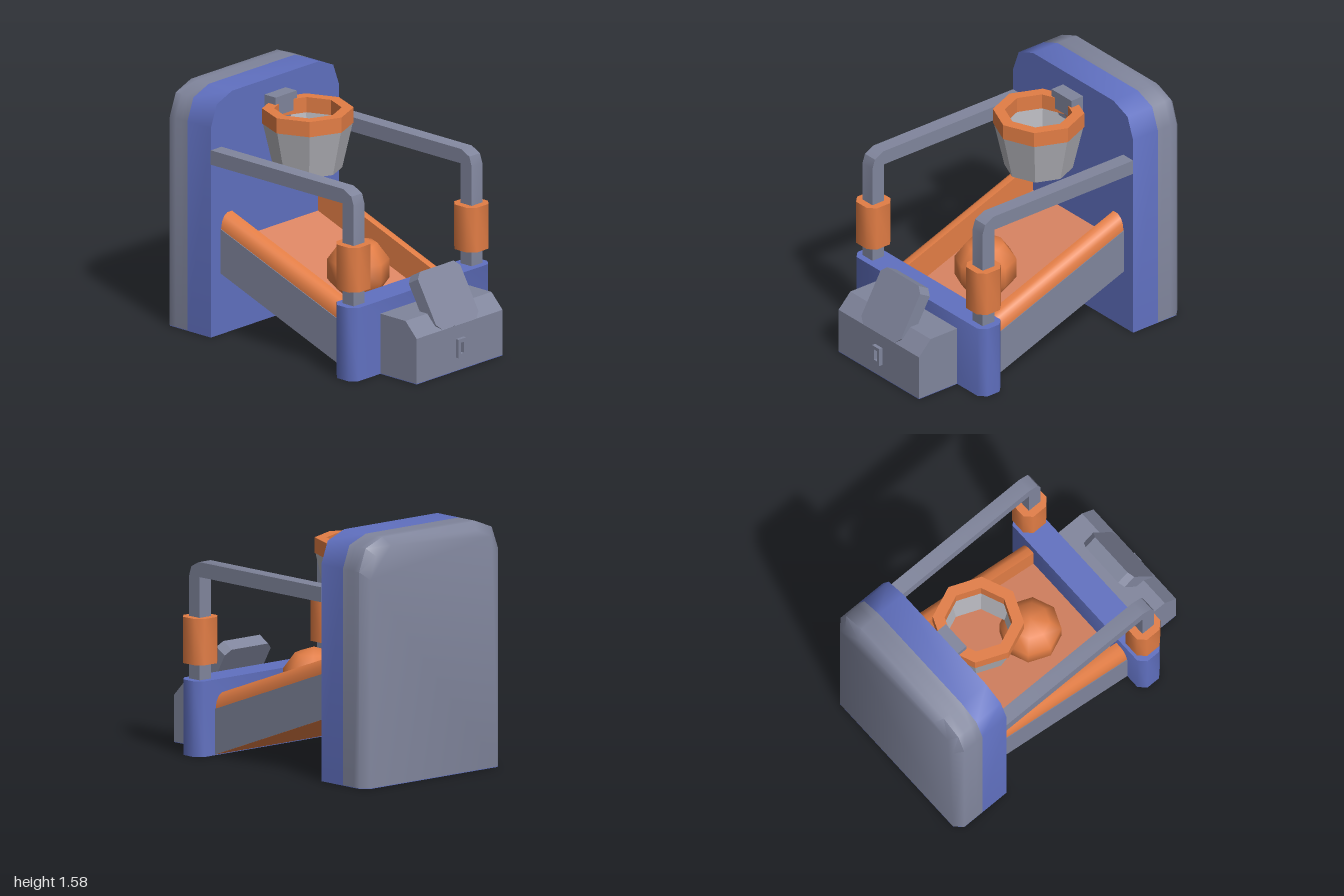
import * as THREE from 'three';
import { toCreasedNormals } from 'three/addons/utils/BufferGeometryUtils.js';

const paint = (name, color) => Object.assign(new THREE.MeshStandardMaterial({ color }), { name });

export function createModel() {
  const group = new THREE.Group();
  const blue = paint('blue', 0x6070c0);
  const grey = paint('steel grey', 0x80859c);
  const orange = paint('orange', 0xe27d45);
  const salmon = paint('salmon floor', 0xd98462);
  const silver = paint('silver', 0xb2b2b8);
  silver.side = THREE.DoubleSide;

  const add = (name, geometry, material, crease = 0.6) => {
    const mesh = new THREE.Mesh(crease ? toCreasedNormals(geometry, crease) : geometry, material);
    mesh.name = name;
    group.add(mesh);
    return mesh;
  };
  const shapeOf = (pts) => new THREE.Shape(pts.map(([x, y]) => new THREE.Vector2(x, y)));
  const extrude = (pts, depth, steps = 1) =>
    new THREE.ExtrudeGeometry(shapeOf(pts), { depth, steps, bevelEnabled: false });
  // (x, y) outline running from z0 to z1
  const alongZ = (pts, z0, z1, steps) => extrude(pts, z1 - z0, steps).translate(0, 0, z0);
  // (z, y) outline running from x0 to x1
  const alongX = (pts, x0, x1) => extrude(pts, x1 - x0).rotateY(-Math.PI / 2).translate(x1, 0, 0);
  // (x, z) outline running from y0 to y1
  const alongY = (pts, y0, y1) =>
    extrude(pts.map(([x, z]) => [x, -z]), y1 - y0).rotateX(-Math.PI / 2).translate(0, y0, 0);
  const box = (x0, x1, y0, y1, z0, z1) =>
    new THREE.BoxGeometry(x1 - x0, y1 - y0, z1 - z0).translate((x0 + x1) / 2, (y0 + y1) / 2, (z0 + z1) / 2);
  // rectangle with cut corners
  const cutRect = (cx, cy, w, h, c) => [
    [cx - w + c, cy - h], [cx + w - c, cy - h], [cx + w, cy - h + c], [cx + w, cy + h - c],
    [cx + w - c, cy + h], [cx - w + c, cy + h], [cx - w, cy + h - c], [cx - w, cy - h + c],
  ];
  const bend = (geometry, rule) => {
    const p = geometry.attributes.position;
    const v = new THREE.Vector3();
    for (let i = 0; i < p.count; i++) {
      rule(v.fromBufferAttribute(p, i));
      p.setXYZ(i, v.x, v.y, v.z);
    }
    return geometry;
  };

  // Backboard: blue front slab, grey rear shell tapering at its back edge
  const board = (y0) => [
    [-0.59, y0], [0.59, y0], [0.59, 1.38], [0.535, 1.525], [0.395, 1.58],
    [-0.395, 1.58], [-0.535, 1.525], [-0.59, 1.38],
  ];
  add('backboard', alongZ(board(0), -0.8, -0.6), blue, 0.9);
  const shell = bend(alongZ(board(0.004), -1, -0.8, 4), (v) => {
    if (v.z < -0.99) {
      v.x *= 0.54 / 0.59;
      if (v.y > 1) v.y -= 0.05;
    }
  });
  add('backboardShell', shell, grey, 0.9);
  add('backboardBase', alongY([
    [-0.59, -0.8], [0.59, -0.8], [0.59, -0.95], [0.54, -1], [-0.54, -1], [-0.59, -0.95],
  ], 0, 0.004), blue);

  // Sloping ramp: outlines at the front end, sheared upwards to the back
  const sloped = (pts) => bend(alongZ(pts, -0.6, 0.49), (v) => { v.y += 0.4 * (0.49 - v.z) / 1.09; });
  add('rampUnderside', sloped([[-0.4, 0], [0.4, 0], [0.4, 0.19], [-0.4, 0.19]]), orange);
  add('rampFloor', sloped([[-0.396, 0.19], [0.396, 0.19], [0.396, 0.198], [-0.396, 0.198]]), salmon);

  for (const s of [-1, 1]) {
    const side = s > 0 ? 'left' : 'right';
    const mirror = (pts) => pts.map(([x, y]) => [s * x, y]);
    // Rounded rail with a grey outer panel
    add(side + 'Rail', sloped(mirror([
      [0.395, 0], [0.495, 0], [0.495, 0.3], [0.487, 0.34], [0.468, 0.372], [0.44, 0.39], [0.395, 0.39],
    ])), orange, 0.7);
    add(side + 'RailPanel', sloped(mirror([[0.495, 0.001], [0.5, 0.001], [0.5, 0.292], [0.495, 0.292]])), grey);

    // Bent support bar and its sleeve
    const x = s * 0.542;
    add(side + 'SupportBar', alongX([
      [-0.6, 1.14], [0.525, 1.14], [0.525, 0.47], [0.62, 0.47],
      [0.62, 1.14], [0.6, 1.2], [0.53, 1.235], [-0.6, 1.235],
    ], x - 0.049, x + 0.049), grey);
    add(side + 'Sleeve', alongY(cutRect(x, 0.572, 0.098, 0.097, 0.045), 0.585, 0.88), orange, 0.9);
  }

  // Front beam
  add('frontBeam', alongY(cutRect(0, 0.572, 0.64, 0.093, 0.045), 0, 0.482), blue, 0.9);

  // Control box with chute and coin slot
  add('controlBox', alongX([
    [0.6, 0.004], [0.975, 0.004], [0.975, 0.3], [0.88, 0.397], [0.6, 0.397],
  ], -0.395, 0.395), grey);
  add('controlBoxBase', box(-0.395, 0.395, 0, 0.004, 0.6, 0.975), blue);
  const flap = extrude(cutRect(0, 0.195, 0.195, 0.195, 0.04), 0.09).translate(0, 0, -0.09);
  add('tiltedFlap', flap.rotateX(-Math.PI / 6).translate(0, 0.302, 0.975), grey);
  const slot = shapeOf([[-0.035, 0.09], [0.035, 0.09], [0.035, 0.212], [-0.035, 0.212]]);
  slot.holes.push(shapeOf([[-0.015, 0.115], [-0.015, 0.188], [0.015, 0.188], [0.015, 0.115]]));
  add('coinSlot', new THREE.ExtrudeGeometry(slot, { depth: 0.025, bevelEnabled: false }).translate(0, 0, 0.975), grey);

  // Ball resting on the ramp
  add('ball', new THREE.SphereGeometry(0.205, 8, 5).translate(0, 0.475, 0.11), orange, 0);

  // Eight-sided hoop with an open basket, hung from a bracket
  const ring = (pts) => new THREE.LatheGeometry(pts.map(([r, y]) => new THREE.Vector2(r, y)), 8).translate(0, 0, -0.32);
  add('basket', ring([[0.215, 1.04], [0.283, 1.34]]), silver);
  add('hoopRim', ring([[0.212, 1.335], [0.287, 1.335], [0.287, 1.435], [0.212, 1.435], [0.212, 1.335]]), orange);
  add('hoopBracket', alongX([
    [-0.6, 1.285], [-0.555, 1.285], [-0.555, 1.435], [-0.53, 1.435], [-0.53, 1.36],
    [-0.505, 1.36], [-0.505, 1.483], [-0.6, 1.483],
  ], -0.098, 0.098), grey);

  return group;
}
